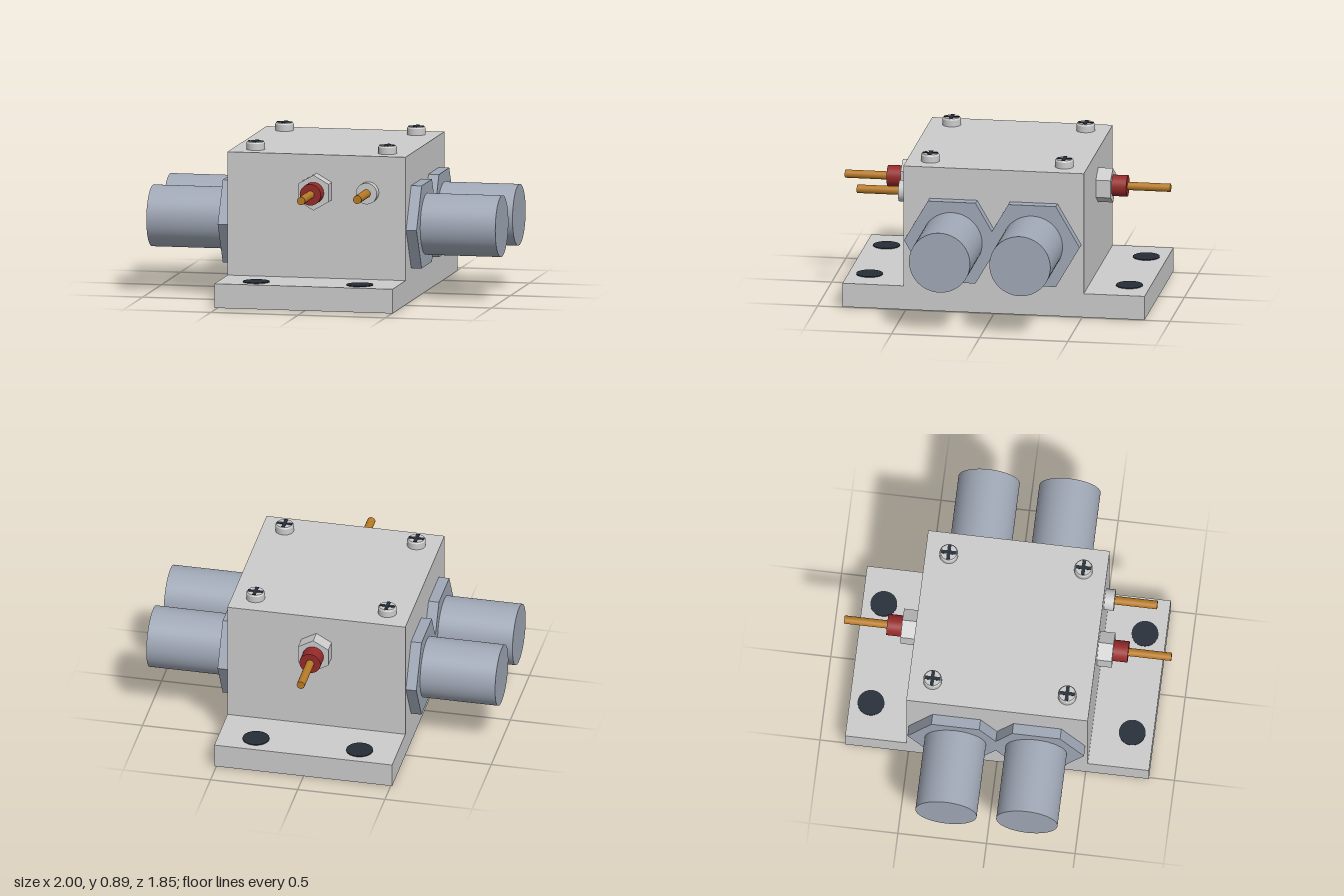
import * as THREE from 'three';

const grey = new THREE.MeshStandardMaterial({ color: 0xcccccc });
const greyFlat = new THREE.MeshStandardMaterial({ color: 0xcccccc, flatShading: true });
const steel = new THREE.MeshStandardMaterial({ color: 0xa0a8b6 });
const steelFlat = new THREE.MeshStandardMaterial({ color: 0xa0a8b6, flatShading: true });
const red = new THREE.MeshStandardMaterial({ color: 0x962a2a });
const copper = new THREE.MeshStandardMaterial({ color: 0xb87a26 });
const dark = new THREE.MeshStandardMaterial({ color: 0x262d38 });

function add(parent, name, geometry, material, x = 0, y = 0, z = 0) {
  const mesh = new THREE.Mesh(geometry, material);
  mesh.name = name;
  mesh.position.set(x, y, z);
  parent.add(mesh);
  return mesh;
}

// Cylinder or prism running along the group's own y axis from a to b
function rod(parent, name, radius, a, b, material, sides = 40) {
  return add(parent, name, new THREE.CylinderGeometry(radius, radius, b - a, sides), material, 0, (a + b) / 2, 0);
}

function subgroup(parent, name, x, y, z) {
  const group = new THREE.Group();
  group.name = name;
  group.position.set(x, y, z);
  parent.add(group);
  return group;
}

// Round connector with its hexagonal nut, pointing out of a side wall
function connector(parent, side, z) {
  const g = subgroup(parent, 'sideConnector', 0, 0.425, z);
  g.rotation.z = -side * Math.PI / 2;
  rod(g, 'connectorNut', 0.27, 0.51, 0.57, steelFlat, 6);
  rod(g, 'connectorBarrel', 0.173, 0.57, 1, steel, 64);
}

// Feedthrough with hexagonal nut, red insulator and copper pin
function feedthrough(parent, dir) {
  const g = subgroup(parent, 'feedthrough', 0, 0.635, 0);
  g.rotation.x = dir * Math.PI / 2;
  rod(g, 'feedthroughNut', 0.1, 0.51, 0.596, greyFlat, 6);
  rod(g, 'insulator', 0.06, 0.596, 0.68, red);
  rod(g, 'pin', 0.023, 0.68, 0.923, copper, 24);
}

// Lid screw with a cross recess
function screw(parent, x, z) {
  const g = subgroup(parent, 'lidScrew', x, 0.84, z);
  const profile = [[0, 0], [0.052, 0], [0.052, 0], [0.052, 0.036], [0.052, 0.036], [0.046, 0.045], [0.046, 0.045], [0, 0.045]];
  add(g, 'screwHead', new THREE.LatheGeometry(profile.map(p => new THREE.Vector2(...p)), 32), grey);
  add(g, 'crossSlot', new THREE.BoxGeometry(0.086, 0.008, 0.02), dark, 0, 0.044, 0);
  add(g, 'crossSlot', new THREE.BoxGeometry(0.02, 0.008, 0.086), dark, 0, 0.044, 0);
}

export function createModel() {
  const model = new THREE.Group();
  model.name = 'connectorBox';

  // Mounting plate and housing
  add(model, 'basePlate', new THREE.BoxGeometry(1.02, 0.137, 1.714), grey, 0, 0.0735, 0);
  add(model, 'housing', new THREE.BoxGeometry(1.02, 0.7, 1.024), grey, 0, 0.49, 0);

  // Parts repeated at the corners and on both sides
  for (const sx of [-1, 1]) {
    for (const sz of [-1, 1]) {
      rod(subgroup(model, 'mountingHole', sx * 0.297, 0, sz * 0.737), 'holeDisc', 0.075, 0, 0.147, dark);
      screw(model, sx * 0.378, sz * 0.38);
      connector(model, sx, sz * 0.228);
    }
  }

  // Centre feedthroughs, front and back
  for (const dir of [-1, 1]) feedthrough(model, dir);

  // Small ground pin on the front only
  const pin = subgroup(model, 'groundPin', 0.297, 0.635, 0);
  pin.rotation.x = Math.PI / 2;
  rod(pin, 'pinCollar', 0.06, 0.51, 0.567, grey);
  rod(pin, 'pin', 0.024, 0.567, 0.807, copper, 24);

  return model;
}
